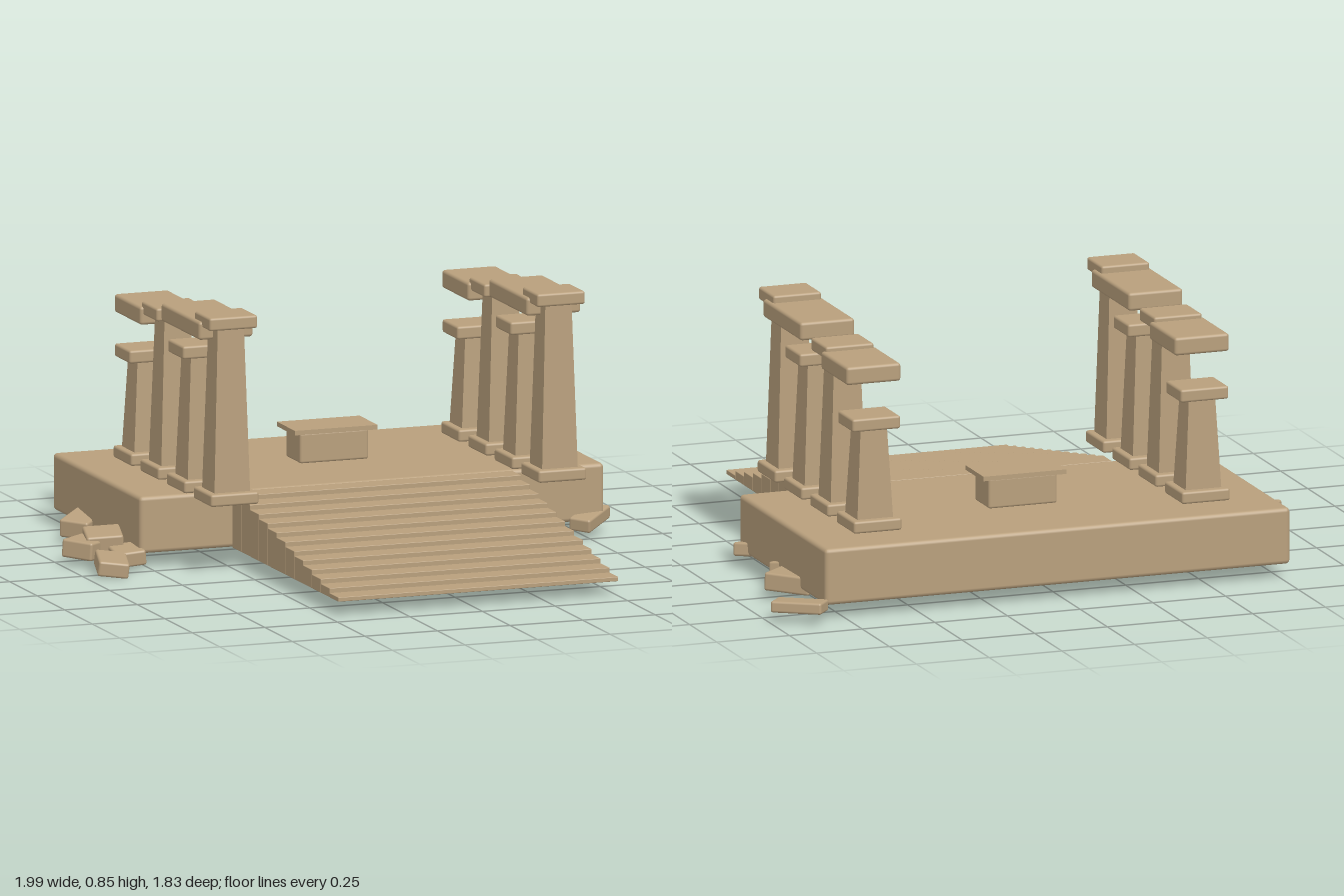
import * as THREE from 'three';
import { RoundedBoxGeometry } from 'three/addons/geometries/RoundedBoxGeometry.js';

const stone = new THREE.MeshStandardMaterial({ color: 0xb89f7c });
stone.name = 'sandstone';

// Block with softened edges, placed by its centre
function block(parent, name, size, pos, bevel = 0.008, rot = [0, 0, 0]) {
  const geo = bevel > 0 ? new RoundedBoxGeometry(...size, 2, bevel) : new THREE.BoxGeometry(...size);
  const mesh = new THREE.Mesh(geo, stone);
  mesh.name = name;
  mesh.position.set(...pos);
  mesh.rotation.set(...rot);
  parent.add(mesh);
  return mesh;
}

// Column with base, tapered square shaft and cap; top is the cap's upper height
function column(x, z, top) {
  const g = new THREE.Group();
  g.name = 'column';
  g.position.set(x, 0, z);
  block(g, 'columnBase', [0.165, 0.04, 0.165], [0, 0.259, 0]);
  const low = 0.275, high = top - 0.035;
  const geo = new THREE.BoxGeometry(1, high - low, 1);
  const p = geo.attributes.position;
  for (let i = 0; i < p.count; i++) {
    const up = p.getY(i) > 0;
    p.setX(i, p.getX(i) * (up ? 0.09 : 0.123));
    p.setZ(i, p.getZ(i) * (up ? 0.085 : 0.113));
  }
  geo.computeVertexNormals();
  const shaft = new THREE.Mesh(geo, stone);
  shaft.name = 'columnShaft';
  shaft.position.y = (low + high) / 2;
  g.add(shaft);
  block(g, 'columnCap', [0.165, 0.043, 0.14], [0, top - 0.0215, 0]);
  return g;
}

export function createModel() {
  const model = new THREE.Group();
  model.name = 'ruinedTemple';

  // Platform
  block(model, 'platform', [1.6, 0.187, 0.795], [0.02, 0.1435, -0.4525], 0.014);

  // Staircase, each step a full-height block
  const stairs = new THREE.Group();
  stairs.name = 'staircase';
  const steps = 12, run = 0.0803, rise = 0.0155;
  for (let i = 0; i < steps; i++) {
    const h = rise * (i + 1) - 0.001;
    block(stairs, 'step', [0.965, h, run], [0.02, 0.05 + h / 2, 0.91 - run * (i + 0.5)], 0.002);
  }
  model.add(stairs);

  // Two colonnades with broken lintels
  for (const x of [-0.547, 0.582]) {
    const row = new THREE.Group();
    row.name = x < 0 ? 'rightColonnade' : 'leftColonnade';
    for (const [z, top] of [[0.113, 0.857], [-0.13, 0.72], [-0.37, 0.8], [-0.615, 0.616]]) {
      row.add(column(x, z, top));
    }
    block(row, 'frontLintel', [0.187, 0.06, 0.348], [x, 0.803, -0.06], 0.01);
    block(row, 'rearLintel', [0.187, 0.06, 0.24], [x, 0.754, -0.54], 0.01);
    model.add(row);
  }

  // Altar
  const altar = new THREE.Group();
  altar.name = 'altar';
  block(altar, 'altarBody', [0.236, 0.1, 0.13], [0.018, 0.286, -0.458], 0.008);
  block(altar, 'altarSlab', [0.285, 0.015, 0.165], [0.018, 0.342, -0.458], 0);
  model.add(altar);

  // Fallen blocks: size, position, rotation
  const rubble = new THREE.Group();
  rubble.name = 'rubble';
  const fallen = [
    [[0.17, 0.038, 0.09], [0.903, 0.054, -0.833], [0.08, -0.63, 0.03]],
    [[0.16, 0.06, 0.155], [0.8, 0.06, -0.53], [0.06, -0.8, 0.06]],
    [[0.09, 0.055, 0.07], [0.79, 0.063, -0.395], [0.15, 0.7, 0.08]],
    [[0.16, 0.045, 0.075], [0.775, 0.058, -0.07], [0.1, 0.78, 0.08]],
    [[0.15, 0.06, 0.1], [-0.79, 0.06, -0.55], [0.08, 0.8, 0.06]],
    [[0.13, 0.06, 0.11], [-0.915, 0.057, -0.19], [0.08, 0.72, -0.08]],
    [[0.12, 0.055, 0.135], [-0.85, 0.078, -0.205], [0.1, -0.25, 0.08]],
    [[0.1, 0.05, 0.165], [-0.9, 0.037, 0.005], [0.06, -0.28, -0.1]],
    [[0.1, 0.05, 0.12], [-0.81, 0.043, -0.095], [0.08, -0.1, 0.1]],
  ];
  for (const [size, pos, rot] of fallen) block(rubble, 'fallenBlock', size, pos, 0.008, rot);
  model.add(rubble);

  return model;
}
